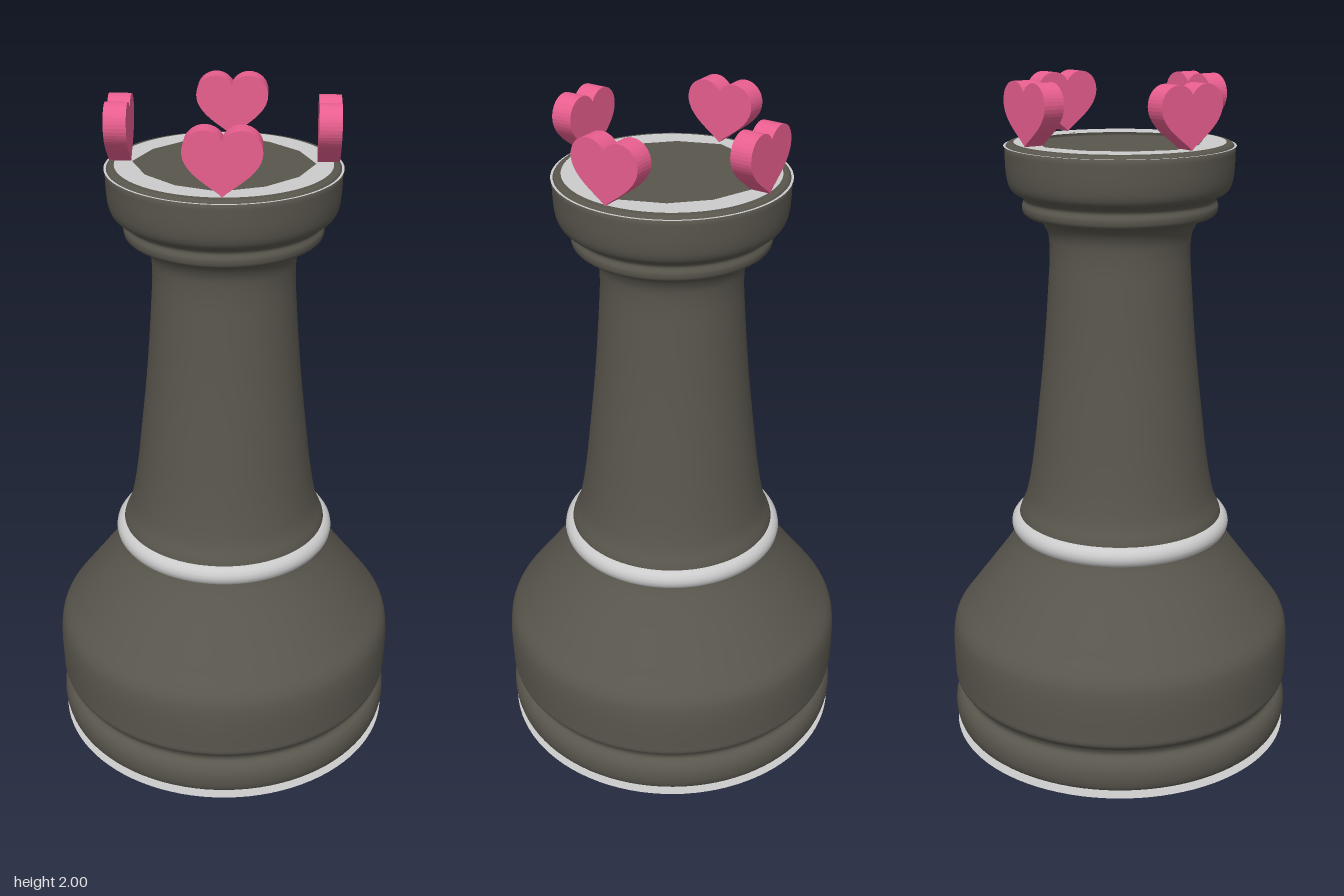
import * as THREE from 'three';

const dark = new THREE.MeshStandardMaterial({ color: 0x59564d, side: THREE.DoubleSide });
const pink = new THREE.MeshStandardMaterial({ color: 0xe85e8e });
const grey = new THREE.MeshStandardMaterial({ color: 0xcccccc, side: THREE.DoubleSide });
const SEG = 96;

function add(parent, name, geometry, material) {
  const mesh = new THREE.Mesh(geometry, material);
  mesh.name = name;
  parent.add(mesh);
  return mesh;
}

// Smooth lathe through a few [radius, height] points
function turned(points) {
  const curve = new THREE.CatmullRomCurve3(points.map(([r, y]) => new THREE.Vector3(r, y, 0)), false, 'centripetal');
  return new THREE.LatheGeometry(curve.getPoints(points.length * 5).map(p => new THREE.Vector2(p.x, p.y)), SEG);
}

function heartGeometry() {
  const depth = 0.062;
  const s = new THREE.Shape();
  s.moveTo(0, 1.83);
  s.bezierCurveTo(0.02, 1.853, 0.104, 1.89, 0.104, 1.947);
  s.bezierCurveTo(0.104, 2.005, 0.03, 2.025, 0, 1.977);
  s.bezierCurveTo(-0.03, 2.025, -0.104, 2.005, -0.104, 1.947);
  s.bezierCurveTo(-0.104, 1.89, -0.02, 1.853, 0, 1.83);
  return new THREE.ExtrudeGeometry(s, { depth, bevelEnabled: false, curveSegments: 16 }).translate(0, 0, -depth / 2);
}

export function createModel() {
  const model = new THREE.Group();
  model.name = 'chessRook';

  // Flat underside
  add(model, 'baseDisc', new THREE.CircleGeometry(0.523, SEG).rotateX(Math.PI / 2), grey);

  // Foot, grooved base and shoulder
  add(model, 'base', turned([
    [0.485, 0.013], [0.512, 0.02], [0.524, 0.045], [0.525, 0.085], [0.515, 0.11], [0.498, 0.128],
    [0.503, 0.147], [0.522, 0.168], [0.525, 0.2], [0.525, 0.315], [0.514, 0.362],
    [0.47, 0.425], [0.41, 0.505], [0.355, 0.58], [0.318, 0.64], [0.31, 0.67],
  ]), dark);

  // Tapering column
  add(model, 'column', turned([
    [0.31, 0.67], [0.31, 0.7], [0.29, 0.75], [0.276, 0.81], [0.262, 0.9], [0.25, 1.0], [0.228, 1.2],
    [0.212, 1.4], [0.206, 1.52], [0.212, 1.57], [0.235, 1.605], [0.27, 1.618],
  ]), dark);

  // Bead around the waist
  const bead = add(model, 'waistRing', new THREE.TorusGeometry(0.303, 0.032, 16, SEG).rotateX(Math.PI / 2), grey);
  bead.position.y = 0.668;

  // Collar and flared crown
  add(model, 'crown', turned([
    [0.27, 1.618], [0.281, 1.627], [0.284, 1.645], [0.278, 1.662], [0.287, 1.675], [0.312, 1.69],
    [0.324, 1.715], [0.33, 1.79], [0.329, 1.81], [0.32, 1.823], [0.302, 1.824],
  ]), dark);

  // Thin edge line and top rim with a faceted opening
  add(model, 'rimEdge', new THREE.RingGeometry(0.3, 0.333, SEG).rotateX(-Math.PI / 2), grey).position.y = 1.816;
  const rim = new THREE.Shape().absarc(0, 0, 0.304, 0, Math.PI * 2);
  const hole = new THREE.Path();
  for (let i = 0; i < 12; i++) {
    const a = i * Math.PI / 6, r = i % 3 ? 0.24 : 0.255;
    hole[i ? 'lineTo' : 'moveTo'](r * Math.cos(a), r * Math.sin(a));
  }
  hole.closePath();
  rim.holes.push(hole);
  add(model, 'topRim', new THREE.ShapeGeometry(rim, 48).rotateX(-Math.PI / 2), grey).position.y = 1.826;

  // Shallow recessed floor
  add(model, 'crownFloor', new THREE.CircleGeometry(0.32, SEG).rotateX(-Math.PI / 2), dark).position.y = 1.805;

  // Four hearts standing around the rim
  const heart = heartGeometry();
  [[0.011, 0.286, 0], [0.289, -0.004, 1], [0.011, -0.284, 2], [-0.287, 0.008, 3]].forEach(([x, z, turn]) => {
    const mesh = add(model, 'heart', heart, pink);
    mesh.position.set(x, 0, z);
    mesh.rotation.y = turn * Math.PI / 2;
  });

  return model;
}
